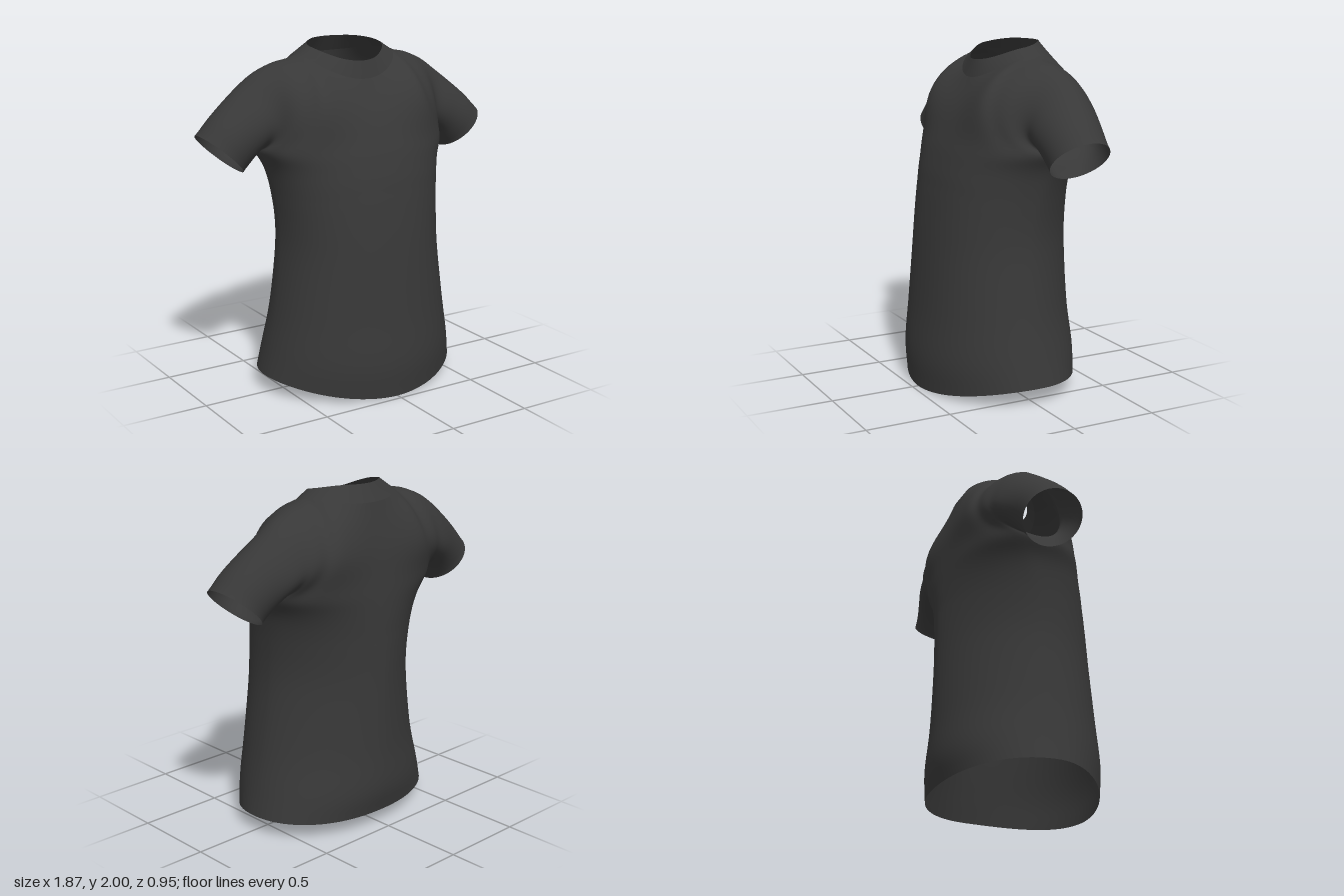
import * as THREE from 'three';
import { mergeVertices } from 'three/addons/utils/BufferGeometryUtils.js';

const V = (x, y, z) => new THREE.Vector3(x, y, z);
const curve = (pts, closed = false) =>
  new THREE.CatmullRomCurve3(pts.map(p => V(...p)), closed, 'catmullrom', 0.5);

const NU = 24, NV = 20;          // panel segments: side to centre, armpit to shoulder
const SHOULDER = 0.375;          // share of a panel's top edge taken by the shoulder seam
const ARMPIT = [0.588, 1.42, -0.12];

// Torso profiles from hem to armpit: [half width, y, front z] and [side z, y, back z]
const frontProfile = curve([[0.615, 0.1, 0.463], [0.583, 0.25, 0.474], [0.54, 0.48, 0.45], [0.499, 0.8, 0.422],
  [0.493, 1.0, 0.4], [0.511, 1.2, 0.37], [0.537, 1.32, 0.343], [ARMPIT[0], 1.42, 0.315]]);
const backProfile = curve([[0, 0.1, -0.44], [0, 0.25, -0.47], [0, 0.48, -0.463], [-0.01, 0.8, -0.46],
  [-0.02, 1.0, -0.46], [-0.05, 1.2, -0.457], [-0.08, 1.32, -0.453], [ARMPIT[2], 1.42, -0.447]]);

// Armhole loop: armpit, up the front, shoulder tip, down the back
const armhole = curve([ARMPIT, [0.557, 1.465, -0.005], [0.535, 1.56, 0.05], [0.54, 1.68, 0.03], [0.56, 1.785, -0.05],
  [0.575, 1.837, -0.165], [0.56, 1.785, -0.275], [0.54, 1.68, -0.345], [0.535, 1.56, -0.36], [0.557, 1.465, -0.26]], true);

// Centre lines of chest and back, armpit level to collar
const centre = {
  front: curve([[0, 1.42, 0.315], [0, 1.62, 0.23], [0, 1.8, 0.12]]),
  back: curve([[0, 1.42, -0.447], [0, 1.66, -0.42], [0, 1.905, -0.36]]),
};

// Quarter of a torso ring: u runs from side seam to centre, v from hem to armpit.
// The chest grows squarer upwards, the back is narrowest in section at the waist.
function torso(side, u, v) {
  const f = frontProfile.getPoint(v), b = backProfile.getPoint(v);
  const front = side === 'front', a = u * Math.PI / 2;
  const e = 2 / (front ? 1.9 + 0.5 * Math.sin(a && v * Math.PI / 2) : 2.2 - 0.52 * Math.sin(v * Math.PI));
  const c = u === 1 ? 0 : Math.cos(a) ** e, s = Math.sin(a) ** e;
  const drop = (front ? 0.1 : 0.013) * Math.sin(a) ** 2 * (1 - v) ** 4;
  return V(f.x * c, f.y - drop, b.x + ((front ? f.z : b.z) - b.x) * s);
}

// Collar seam and rim, a = 0 at the side, PI/2 at the front, -PI/2 at the back
function collarBase(a) {
  const s = Math.sin(a);
  return V(0.31 * Math.cos(a), 1.93 - (s > 0 ? 0.13 : 0.025) * s * s, -0.13 + (s > 0 ? 0.25 : 0.23) * s);
}
function collarRim(a) {
  const s = Math.sin(a), k = 1 - 0.06 * Math.sin(2 * a) ** 2;
  const y = s > 0 ? 1.975 - 0.075 * s ** 1.4 : 1.975 + 0.025 * Math.sin(Math.min(-1.5 * a, Math.PI / 2));
  return V(0.235 * k * Math.cos(a), y, -0.11 + (s > 0 ? 0.2 : 0.19) * k * s);
}

// Upper panel between torso, armhole, centre line and shoulder seam plus collar (blended patch)
function panel(side, u, v) {
  const front = side === 'front';
  const bottom = t => torso(side, t, 1);
  const hole = t => armhole.getPoint(front ? t / 2 : (1 - t / 2) % 1);
  const mid = t => centre[side].getPoint(t);
  const top = t => {
    if (t > SHOULDER) return collarBase((front ? 1 : -1) * (t - SHOULDER) / (1 - SHOULDER) * Math.PI / 2);
    const k = t / SHOULDER, p = hole(1).lerp(collarBase(0), k);
    p.y += 0.06 * k * (1 - k);
    return p;
  };
  const w = (1 - u) ** 1.5;
  const p = bottom(u).multiplyScalar(1 - v).addScaledVector(top(u), v);
  p.addScaledVector(hole(v), w).addScaledVector(mid(v), 1 - w);
  p.addScaledVector(hole(0), -w * (1 - v)).addScaledVector(mid(0), -(1 - w) * (1 - v));
  p.addScaledVector(hole(1), -w * v).addScaledVector(mid(1), -(1 - w) * v);
  // Fullness beside the neck, so the cloth rolls over the shoulder
  const crown = Math.sin(Math.PI * u ** 0.75) ** 2 * 6.75 * v * v * (1 - v);
  p.z += (front ? 0.075 : -0.06) * crown;
  return p;
}

// Sleeve: t runs round the armhole, s runs out to the cuff
const CUFF = V(0.8125, 1.415, -0.125), UP = V(0.735, 0.678, 0), AXIS = V(0.678, -0.735, 0);
function sleeve(t, s) {
  const a = t * Math.PI * 2, r = 0.167;
  const p0 = armhole.getPoint(t % 1);
  const p3 = CUFF.clone().addScaledVector(UP, -r * Math.cos(a)).add(V(0, 0, 0.172 * Math.sin(a)));
  const reach = p0.distanceTo(p3) / 3;
  const p1 = p0.clone().addScaledVector(V(0.86, -0.42 + 0.22 * Math.cos(a), 0), reach);
  const p2 = p3.clone().addScaledVector(AXIS, -reach);
  return new THREE.CubicBezierCurve3(p0, p1, p2, p3).getPoint(s);
}

// Append a grid of triangles; flip reverses the winding, mirror reflects in x
function addGrid(out, fn, nu, nv, flip, mirror = false) {
  const at = (i, j) => {
    const p = fn(i / nu, j / nv);
    return [mirror ? -p.x : p.x, p.y, p.z];
  };
  const rows = Array.from({ length: nv + 1 }, (_, j) => Array.from({ length: nu + 1 }, (_, i) => at(i, j)));
  for (let j = 0; j < nv; j++) for (let i = 0; i < nu; i++) {
    const a = rows[j][i], b = rows[j][i + 1], c = rows[j + 1][i + 1], d = rows[j + 1][i];
    for (const p of flip !== mirror ? [a, c, b, a, d, c] : [a, b, c, a, c, d]) out.push(...p);
  }
}

function weld(positions) {
  const g = new THREE.BufferGeometry();
  g.setAttribute('position', new THREE.Float32BufferAttribute(positions, 3));
  const welded = mergeVertices(g, 1e-4);
  welded.computeVertexNormals();
  return welded;
}

// Smooth the cloth above a height without shrinking it; open edges stay put
function relax(geometry, minY, rounds) {
  const pos = geometry.attributes.position, index = geometry.index.array;
  const links = Array.from({ length: pos.count }, () => new Map());
  const link = (a, b) => links[a].set(b, (links[a].get(b) || 0) + 1);
  for (let i = 0; i < index.length; i += 3) for (let k = 0; k < 3; k++) {
    const a = index[i + k], b = index[i + (k + 1) % 3];
    link(a, b);
    link(b, a);
  }
  const free = [];
  links.forEach((m, i) => {
    if (pos.getY(i) > minY && [...m.values()].every(n => n === 2)) free.push([i, [...m.keys()]]);
  });
  for (let r = 0; r < rounds; r++) for (const step of [0.5, -0.51]) {
    const old = pos.array.slice();
    for (const [i, near] of free) for (let k = 0; k < 3; k++) {
      let sum = 0;
      for (const n of near) sum += old[n * 3 + k];
      pos.array[i * 3 + k] += step * (sum / near.length - old[i * 3 + k]);
    }
  }
  geometry.computeVertexNormals();
}

export function createModel() {
  const group = new THREE.Group();
  group.name = 'shirt';
  const cloth = new THREE.MeshStandardMaterial({ color: 0x383838, side: THREE.DoubleSide });
  const addMesh = (name, geometry) => {
    const mesh = new THREE.Mesh(geometry, cloth);
    mesh.name = name;
    group.add(mesh);
  };

  // Body and sleeves are welded together so the shading runs smoothly over the armholes
  const positions = [], parts = [];
  const endPart = name => parts.push([name, positions.length / 3]);
  for (const mirror of [false, true]) for (const side of ['front', 'back']) {
    addGrid(positions, (u, v) => torso(side, u, v), NU, 40, side === 'front', mirror);
    addGrid(positions, (u, v) => panel(side, u, v), NU, NV, side === 'front', mirror);
  }
  endPart('body');
  addGrid(positions, sleeve, NV * 2, 16, true);
  endPart('leftSleeve');
  addGrid(positions, sleeve, NV * 2, 16, true, true);
  endPart('rightSleeve');

  const whole = weld(positions), index = Array.from(whole.index.array);
  relax(whole, 1.15, 50);
  let start = 0;
  for (const [name, end] of parts) {
    const g = new THREE.BufferGeometry();
    g.setAttribute('position', whole.attributes.position);
    g.setAttribute('normal', whole.attributes.normal);
    g.setIndex(index.slice(start, end));
    addMesh(name, g);
    start = end;
  }

  // Collar band
  const band = [];
  for (const mirror of [false, true]) addGrid(band, (u, v) => {
    const a = (u - 0.5) * Math.PI;
    return collarBase(a).lerp(collarRim(a), v);
  }, 30, 4, true, mirror);
  addMesh('collar', weld(band));

  return group;
}
